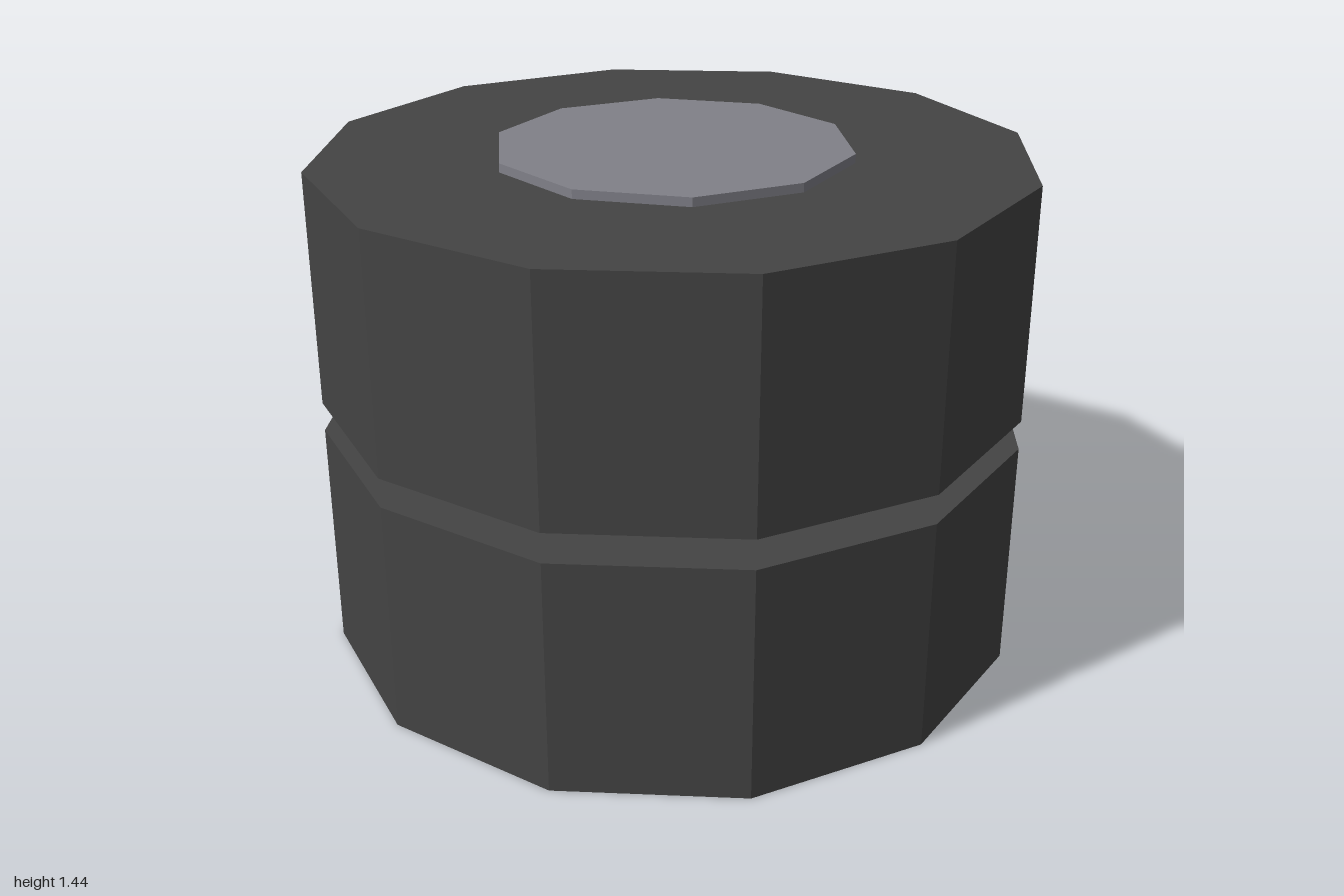
import * as THREE from 'three';

const tyreMat = new THREE.MeshStandardMaterial({ color: 0x444444, flatShading: true });
tyreMat.name = 'dark rubber';
const hubMat = new THREE.MeshStandardMaterial({ color: 0x808088, flatShading: true });
hubMat.name = 'grey metal';

const TYRE_HEIGHT = 0.667;
const HUB_RISE = 0.025; // how far the hub stands above the tyre
const SPACING = 0.75;

function disc(name, radius, height, sides, bottom, material) {
  const mesh = new THREE.Mesh(new THREE.CylinderGeometry(radius, radius, height, sides), material);
  mesh.name = name;
  mesh.position.y = bottom + height / 2;
  return mesh;
}

// One wheel lying flat: a twelve-sided tyre with a ten-sided hub on top
function createWheel(name) {
  const wheel = new THREE.Group();
  wheel.name = name;
  wheel.add(
    disc('tyre', 1, TYRE_HEIGHT, 12, 0, tyreMat),
    disc('hub', 0.5, HUB_RISE, 10, TYRE_HEIGHT, hubMat)
  );
  return wheel;
}

export function createModel() {
  const model = new THREE.Group();
  model.name = 'wheelStack';
  ['lowerWheel', 'upperWheel'].forEach((name, i) => {
    const wheel = createWheel(name);
    wheel.position.y = i * SPACING;
    model.add(wheel);
  });
  return model;
}
